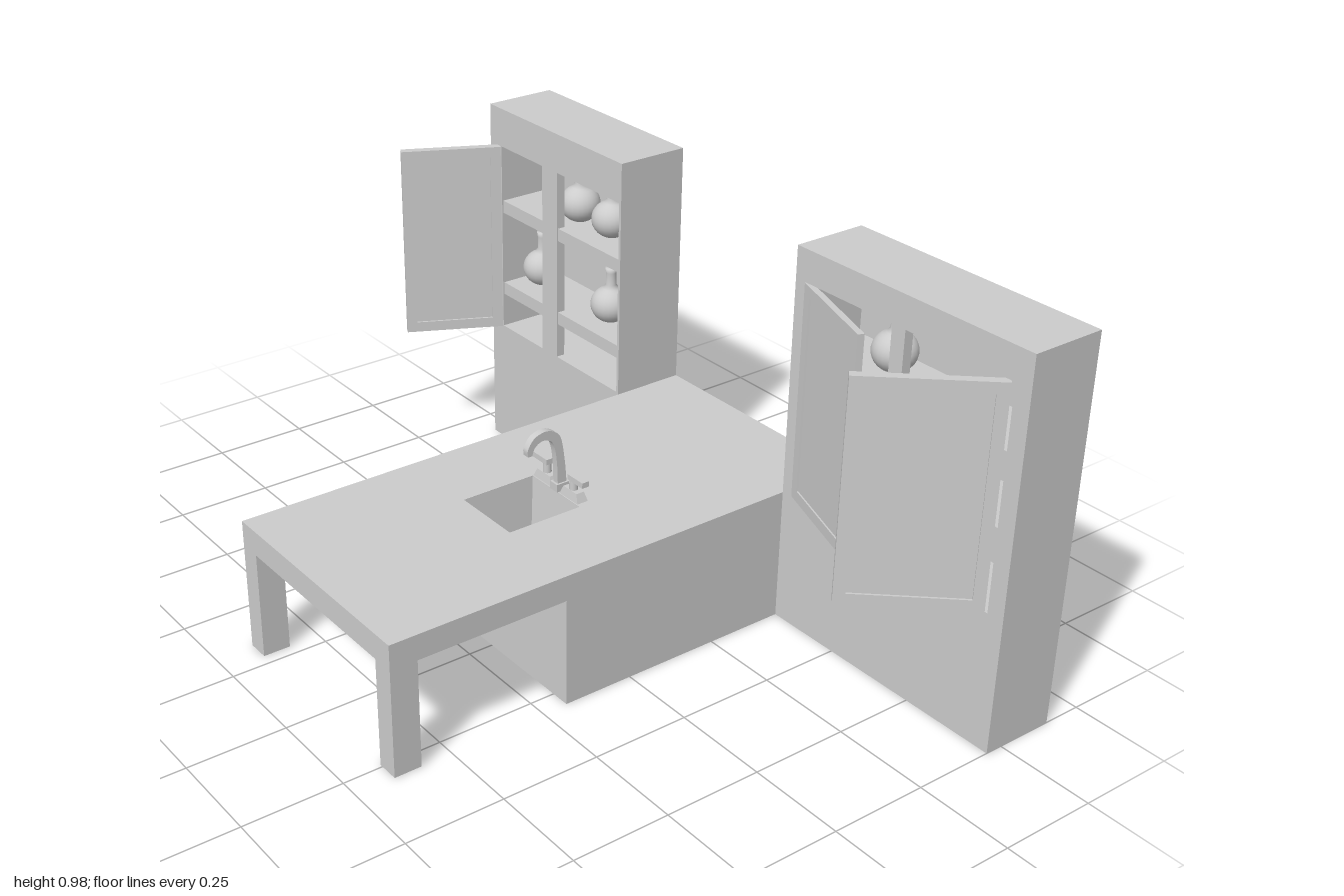
import * as THREE from 'three';

const mat = new THREE.MeshStandardMaterial({ color: 0xcccccc, side: THREE.DoubleSide });

function mesh(name, geo, parent) {
  const m = new THREE.Mesh(geo, mat);
  m.name = name;
  parent.add(m);
  return m;
}

// Box given by its minimum and maximum corners
function box(name, parent, x0, x1, y0, y1, z0, z1) {
  const m = mesh(name, new THREE.BoxGeometry(x1 - x0, y1 - y0, z1 - z0), parent);
  m.position.set((x0 + x1) / 2, (y0 + y1) / 2, (z0 + z1) / 2);
  return m;
}

function rect(path, x0, x1, y0, y1) {
  path.moveTo(x0, y0).lineTo(x1, y0).lineTo(x1, y1).lineTo(x0, y1).closePath();
  return path;
}

// Plate with rectangular holes, extruded along z from 0
function plate(outer, holes, depth) {
  const s = rect(new THREE.Shape(), ...outer);
  for (const h of holes) s.holes.push(rect(new THREE.Path(), ...h));
  return new THREE.ExtrudeGeometry(s, { depth, bevelEnabled: false });
}

const BACK = -0.65, FRONT = -0.455, COUNTER = 0.345;

// Round bottle: a spherical body with a straight neck
function vaseGeometry() {
  const pts = [new THREE.Vector2(0, 0)];
  for (let i = 2; i <= 13; i++) {
    const a = -Math.PI / 2 + (i / 15) * Math.PI;
    pts.push(new THREE.Vector2(0.054 * Math.cos(a), 0.05 + 0.05 * Math.sin(a)));
  }
  pts.push(new THREE.Vector2(0.014, 0.106), new THREE.Vector2(0.014, 0.14),
    new THREE.Vector2(0.016, 0.153), new THREE.Vector2(0, 0.153));
  return new THREE.LatheGeometry(pts, 24);
}

// Tall cupboard: shell, face frame with post, shelves and bottles
function cupboard(name, o, root) {
  const g = new THREE.Group();
  g.name = name;
  root.add(g);
  const [cx0, cx1, cy0, cy1] = o.cavity;
  const outer = [o.x0, o.x1, 0, 0.98];
  mesh('shell', plate(outer, [o.cavity], 0.14), g).position.z = BACK + 0.03;
  box('backPanel', g, o.x0, o.x1, 0, 0.98, BACK, BACK + 0.03);
  const holes = [[cx0, o.post[0], cy0, cy1], [o.post[1], cx1, cy0, cy1]];
  mesh('faceFrame', plate(outer, holes, 0.025), g).position.z = FRONT - 0.025;
  for (const [y0, y1] of o.shelves) box('shelf', g, cx0, cx1, y0, y1, BACK + 0.03, FRONT - 0.004);
  const vase = vaseGeometry();
  for (const [x, y] of o.vases) mesh('vase', vase, g).position.set(x, y, -0.54);
}

// Open door: frame with recessed panel, running from hinge to free edge in plan
function door(name, root, [hx, hz], [ex, ez], y0, y1, t) {
  const g = new THREE.Group();
  g.name = name;
  const w = Math.hypot(ex - hx, ez - hz), b = 0.028;
  mesh('doorFrame', plate([0, w, y0, y1], [[b, w - b, y0 + b, y1 - b]], t), g).position.z = -t / 2;
  box('doorPanel', g, b, w - b, y0 + b, y1 - b, -t * 0.25, t * 0.25);
  g.position.set(hx, 0, hz);
  g.rotation.y = Math.atan2(hz - ez, ex - hx);
  root.add(g);
}

function island(root) {
  const g = new THREE.Group();
  g.name = 'island';
  root.add(g);
  const x0 = -0.34, x1 = 0.3, bodyEnd = 0.185, floor = 0.2;
  const sink = { x0: -0.118, x1: 0.07, z0: -0.022, z1: 0.178 };

  // Cabinet with a well for the basin
  box('cabinetBase', g, x0, x1, 0, floor, BACK, bodyEnd);
  const top = mesh('cabinetTop', plate([x0, x1, -bodyEnd, -BACK],
    [[sink.x0, sink.x1, -sink.z1, -sink.z0]], COUNTER - floor), g);
  top.rotation.x = -Math.PI / 2;
  top.position.y = floor;

  // Tapered basin walls
  const basinGeo = new THREE.CylinderGeometry(Math.SQRT1_2, Math.SQRT1_2 * 0.86, 0.14, 4, 1, true);
  basinGeo.rotateY(Math.PI / 4);
  basinGeo.scale(sink.x1 - sink.x0, 1, sink.z1 - sink.z0);
  const basin = mesh('sinkBasin', basinGeo.toNonIndexed(), g);
  basin.geometry.computeVertexNormals();
  basin.position.set((sink.x0 + sink.x1) / 2, COUNTER - 0.071, (sink.z0 + sink.z1) / 2);

  // Overhanging table end
  box('tableTop', g, x0, x1, 0.28, COUNTER, bodyEnd, 0.65);
  box('tableLeg', g, x0, x0 + 0.058, 0, 0.28, 0.58, 0.65);
  box('tableLeg', g, x1 - 0.058, x1, 0, 0.28, 0.58, 0.65);
}

function faucet(root) {
  const g = new THREE.Group();
  g.name = 'faucet';
  g.position.set(-0.03, COUNTER, 0);
  root.add(g);
  box('spoutBase', g, -0.014, 0.014, 0, 0.02, -0.055, -0.02);

  // Gooseneck, drawn in side profile
  const v = (z, y) => new THREE.Vector2(z, y);
  const s = new THREE.Shape();
  s.moveTo(-0.052, 0.015);
  s.splineThru([v(-0.046, 0.08), v(-0.035, 0.14), v(-0.015, 0.163), v(0.012, 0.171),
    v(0.042, 0.162), v(0.06, 0.138), v(0.06, 0.118)]);
  s.lineTo(0.048, 0.118);
  s.splineThru([v(0.042, 0.135), v(0.028, 0.146), v(0.01, 0.148), v(-0.008, 0.138),
    v(-0.018, 0.115), v(-0.024, 0.07), v(-0.026, 0.015)]);
  s.closePath();
  const geo = new THREE.ExtrudeGeometry(s, { depth: 0.018, bevelEnabled: false, curveSegments: 24 });
  geo.translate(0, 0, -0.009);
  geo.rotateY(-Math.PI / 2);
  mesh('spout', geo, g);

  // Taps with outward levers
  for (const side of [-1, 1]) {
    const tap = new THREE.Group();
    tap.name = side > 0 ? 'leftTap' : 'rightTap';
    tap.position.set(side * 0.053, 0, -0.04);
    g.add(tap);
    const base = mesh('tapBase', new THREE.CylinderGeometry(0.026, 0.036, 0.022, 4, 1).rotateY(Math.PI / 4), tap);
    base.geometry.scale(1.4, 1, 0.6);
    base.geometry = base.geometry.toNonIndexed();
    base.geometry.computeVertexNormals();
    base.position.y = 0.011;
    mesh('tapStem', new THREE.CylinderGeometry(0.01, 0.011, 0.04, 12), tap).position.y = 0.036;
    const lever = mesh('tapLever', new THREE.BoxGeometry(0.058, 0.014, 0.02), tap);
    lever.position.set(side * 0.018, 0.053, 0);
  }
}

export function createModel() {
  const root = new THREE.Group();
  root.name = 'kitchenUnit';

  cupboard('rightCupboard', {
    x0: -0.91, x1: -0.34, cavity: [-0.86, -0.348, 0.35, 0.875], post: [-0.675, -0.61],
    shelves: [[0.445, 0.48], [0.685, 0.72]],
    vases: [[-0.79, 0.48], [-0.485, 0.48], [-0.485, 0.72], [-0.622, 0.72]],
  }, root);
  cupboard('leftCupboard', {
    x0: 0.3, x1: 1, cavity: [0.35, 0.955, 0.345, 0.9], post: [0.605, 0.645],
    shelves: [[0.535, 0.555], [0.717, 0.738]],
    vases: [[0.665, 0.555], [0.74, 0.345], [0.54, 0.738]],
  }, root);

  door('rightCupboardDoor', root, [-0.868, -0.456], [-0.989, -0.219], 0.35, 0.875, 0.022);
  door('leftCupboardInnerDoor', root, [0.335, -0.46], [0.605, -0.364], 0.35, 0.9, 0.016);
  door('leftCupboardOuterDoor', root, [0.945, -0.455], [0.727, -0.212], 0.35, 0.9, 0.022);

  island(root);
  faucet(root);
  return root;
}
